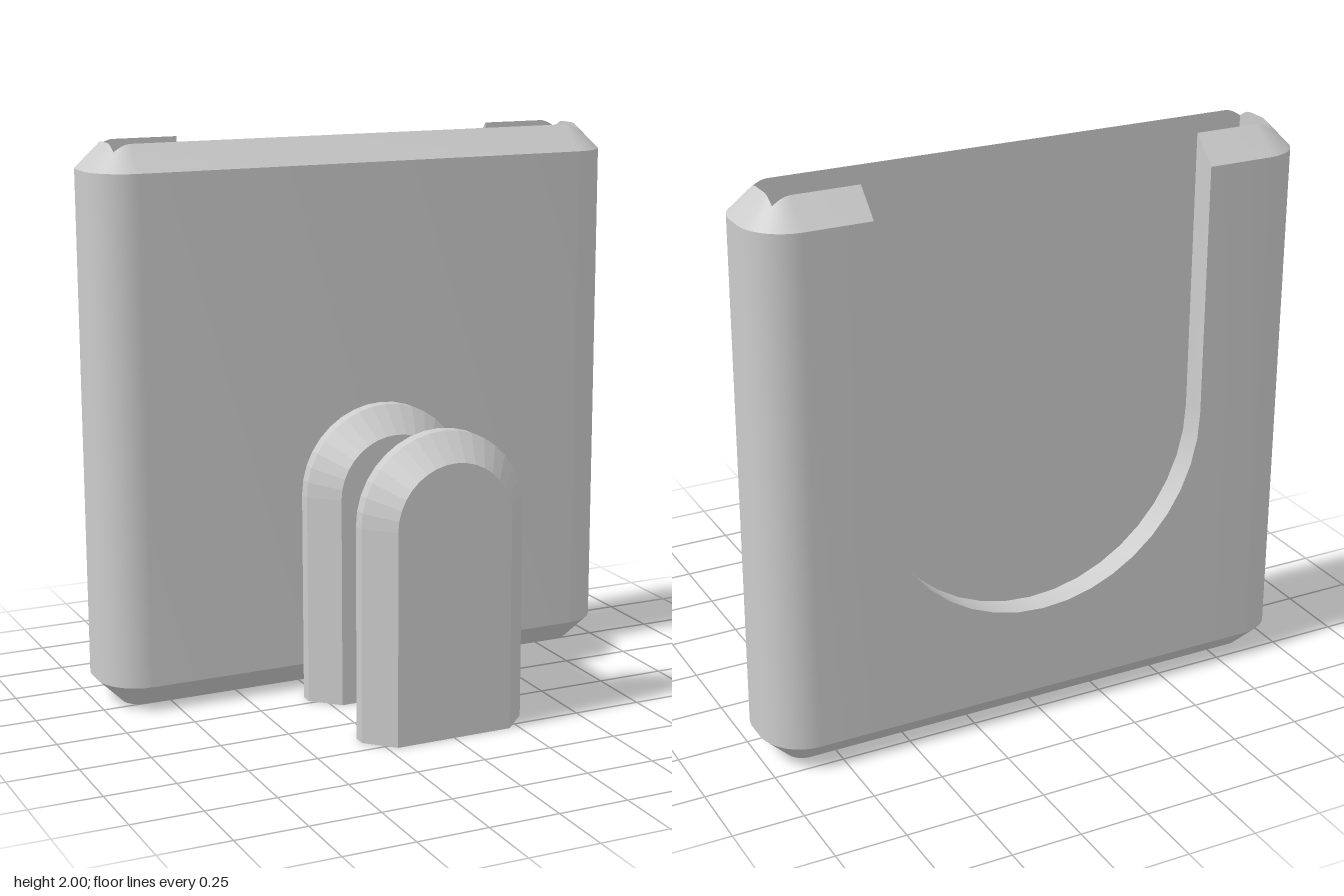
import * as THREE from 'three';
import { toCreasedNormals } from 'three/addons/utils/BufferGeometryUtils.js';

const WALL = 0.092;               // wall thickness and chamfer size
const R = 0.155;                  // rounding of the upright corners
const HALF_X = 1, HALF_Z = 0.187, CENTRE_Z = -0.342;
const TOP = 2, FLOOR = WALL;
const U_R = 0.612, U_Y = 1.02;    // U-shaped opening in the back wall

// One upright section of the wall, listed from under the base, up the outside,
// over the rim and down the inside of the pocket.
function section(out, base, inner, outerTop, innerTop) {
  return [
    [0, 0, 0],
    [base[0], 0, base[1]],
    [out[0], WALL, out[1]],
    [out[0], outerTop, out[1]],
    [inner[0], innerTop, inner[1]],
    [inner[0], FLOOR, inner[1]],
    [0, FLOOR, 0],
  ];
}

function holderGeometry() {
  const cols = [];
  const steps = 12;
  const corner = (sx, sz, start) => {
    const cx = sx * (HALF_X - R), cz = sz * (HALF_Z - R);
    for (let i = 0; i <= steps; i++) {
      const a = start + (i / steps) * Math.PI / 2;
      const c = Math.cos(a), s = Math.sin(a);
      const at = (r) => [cx + r * c, cz + r * s];
      // the chamfer rises until it meets the square pocket
      const rIn = (R - WALL) / Math.max(Math.abs(c), Math.abs(s));
      cols.push(section(at(R), at(R - WALL), at(rIn), TOP - WALL, TOP - WALL + R - rIn));
    }
  };
  const back = (x, outerTop, innerTop) => {
    const inner = [x, -HALF_Z + WALL];
    cols.push(section([x, -HALF_Z], inner, inner, outerTop, innerTop));
  };
  corner(1, 1, 0);
  corner(-1, 1, Math.PI / 2);
  corner(-1, -1, Math.PI);
  // back wall with the U cut out of it
  back(-U_R, TOP - WALL, TOP);
  const arc = 20;
  for (let i = 0; i <= arc; i++) {
    const a = (i / arc) * Math.PI;
    const y = U_Y - U_R * Math.sin(a);
    back(-U_R * Math.cos(a), y, y);
  }
  back(U_R, TOP - WALL, TOP);
  corner(1, -1, Math.PI * 1.5);

  // skin the sections into a closed ring
  const rows = cols[0].length, pos = [], index = [];
  cols.forEach((col) => col.forEach((p) => pos.push(...p)));
  for (let i = 0; i < cols.length; i++) {
    const n = (i + 1) % cols.length;
    for (let j = 0; j < rows - 1; j++) {
      const a = i * rows + j, b = n * rows + j;
      index.push(a, b + 1, b, a, a + 1, b + 1);
    }
  }
  const geo = new THREE.BufferGeometry();
  geo.setAttribute('position', new THREE.Float32BufferAttribute(pos, 3));
  geo.setIndex(index);
  return toCreasedNormals(geo, 0.4);
}

export function createModel() {
  const model = new THREE.Group();
  model.name = 'cardHolder';
  const add = (name, geo, mat) => {
    const mesh = new THREE.Mesh(geo, mat);
    mesh.name = name;
    model.add(mesh);
    return mesh;
  };

  // flat pocket, open at the top and through the back
  const smooth = new THREE.MeshStandardMaterial({ color: 0xcccccc });
  add('pocket', holderGeometry(), smooth).position.z = CENTRE_Z;

  // clip profile: [half width, z], two bevelled flanges joined by a neck
  const flat = new THREE.MeshStandardMaterial({ color: 0xcccccc, flatShading: true });
  const profile = [
    [0.215, -0.2], [0.215, -0.155], [0.307, -0.063], [0.307, -0.02],
    [0.215, 0.072], [0.12, 0.072], [0.12, 0.3], [0.215, 0.3],
    [0.307, 0.392], [0.307, 0.435], [0.215, 0.529],
  ];
  const springY = 0.757;

  // straight lower part of the clip
  const outline = [
    ...profile.map(([w, z]) => new THREE.Vector2(w, -z)),
    ...profile.map(([w, z]) => new THREE.Vector2(-w, -z)).reverse(),
  ];
  const post = new THREE.ExtrudeGeometry(new THREE.Shape(outline), { depth: springY, bevelEnabled: false });
  post.rotateX(-Math.PI / 2);
  add('clipPost', post, flat);

  // half-round head of the clip
  const spin = [[0, -0.2], ...profile, [0, 0.529]].map(([w, z]) => new THREE.Vector2(w, z));
  const head = new THREE.LatheGeometry(spin, 18, Math.PI / 2, Math.PI);
  head.rotateX(Math.PI / 2);
  add('clipHead', head, flat).position.y = springY;

  return model;
}
